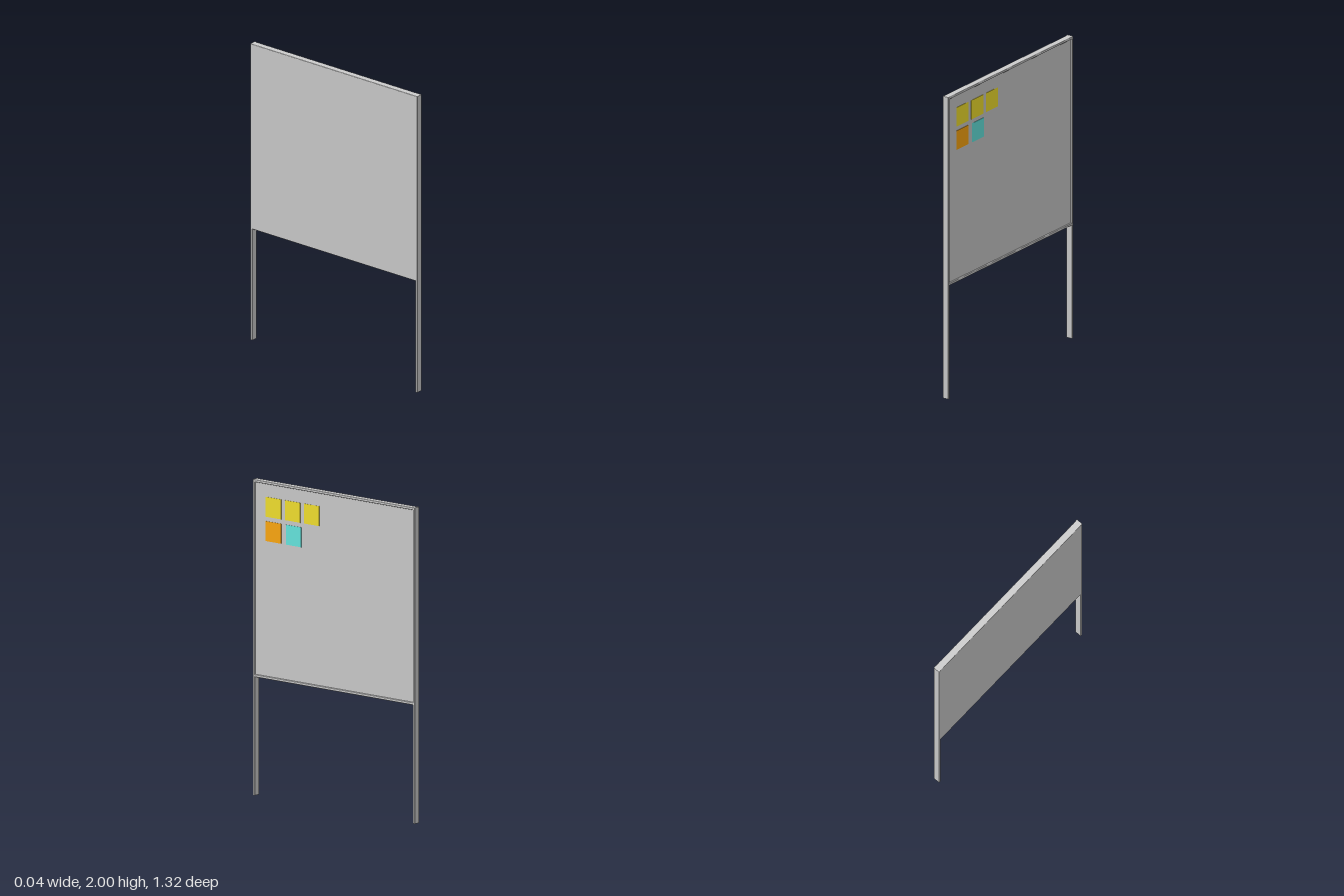
import * as THREE from 'three';

const GREY = new THREE.MeshStandardMaterial({ color: 0xcccccc });
const DEPTH = 0.044;   // frame depth along x
const BAR = 0.016;     // visible width of the frame bars
const HALF = 0.66;     // half the board's width along z
const TOP = 2;
const BOTTOM = 0.75;   // lower edge of the board

// Bar with rounded long edges: section in x/y, extruded along z and centred
function roundedBar(length, r = 0.004) {
  const w = DEPTH / 2, h = BAR / 2;
  const s = new THREE.Shape();
  s.moveTo(-w + r, -h);
  s.lineTo(w - r, -h);
  s.absarc(w - r, -h + r, r, -Math.PI / 2, 0);
  s.absarc(w - r, h - r, r, 0, Math.PI / 2);
  s.absarc(-w + r, h - r, r, Math.PI / 2, Math.PI);
  s.absarc(-w + r, -h + r, r, Math.PI, Math.PI * 1.5);
  const g = new THREE.ExtrudeGeometry(s, { depth: length, bevelEnabled: false, curveSegments: 4 });
  return g.translate(0, 0, -length / 2);
}

function add(parent, name, geometry, material, x, y, z) {
  const mesh = new THREE.Mesh(geometry, material);
  mesh.name = name;
  mesh.position.set(x, y, z);
  parent.add(mesh);
  return mesh;
}

export function createModel() {
  const model = new THREE.Group();
  model.name = 'noticeBoard';

  // Upright posts that run down to form the legs
  const post = roundedBar(TOP).rotateX(Math.PI / 2);
  for (const [name, side] of [['frontPost', 1], ['backPost', -1]]) {
    add(model, name, post, GREY, 0, TOP / 2, side * (HALF - BAR / 2));
  }

  // Top and bottom rails between the posts
  const rail = roundedBar(2 * (HALF - BAR) + 0.008);
  add(model, 'topRail', rail, GREY, 0, TOP - BAR / 2, 0);
  add(model, 'bottomRail', rail, GREY, 0, BOTTOM + BAR / 2, 0);

  // Panel: recessed on the writing side, flush at the rear
  const face = 0.012, rear = -DEPTH / 2;
  add(model, 'panel',
    new THREE.BoxGeometry(face - rear, TOP - BOTTOM - BAR, 2 * HALF - BAR),
    GREY, (face + rear) / 2, (TOP + BOTTOM) / 2, 0);

  // Square paper notes stuck on the panel
  const noteGeometry = new THREE.BoxGeometry(0.002, 0.126, 0.125);
  const yellow = new THREE.MeshStandardMaterial({ color: 0xf4e22e });
  const orange = new THREE.MeshStandardMaterial({ color: 0xffa90f });
  const cyan = new THREE.MeshStandardMaterial({ color: 0x66e8e1 });
  const notes = [
    ['yellowNote1', yellow, 1.838, 0.498],
    ['yellowNote2', yellow, 1.838, 0.342],
    ['yellowNote3', yellow, 1.838, 0.188],
    ['orangeNote', orange, 1.684, 0.498],
    ['cyanNote', cyan, 1.684, 0.334],
  ];
  for (const [name, material, y, z] of notes) {
    add(model, name, noteGeometry, material, face + 0.001, y, z);
  }

  return model;
}
